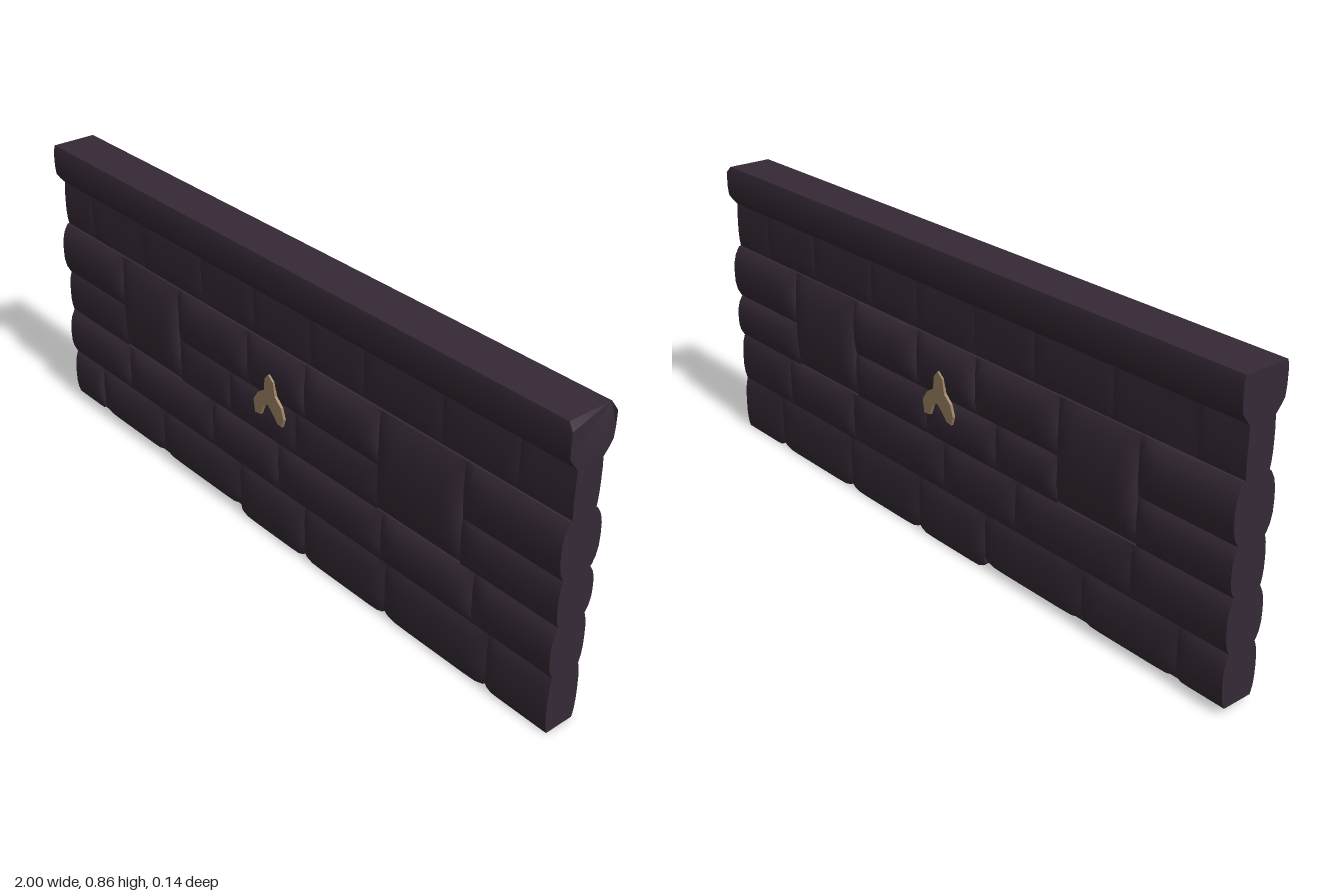
import * as THREE from 'three';
import { mergeVertices, toCreasedNormals } from 'three/addons/utils/BufferGeometryUtils.js';

let seed = 7;
const rand = () => (seed = (seed * 16807) % 2147483647) / 2147483647;

// A pillow-shaped block running through the wall; outer wall ends stay square.
function stoneGeometry(x0, x1, y0, y1, base, front, back) {
  let g = new THREE.BoxGeometry(2, 2, 2, 10, 8, 1);
  const p = g.attributes.position;
  const tilt = (rand() - 0.5) * 0.006;
  for (let i = 0; i < p.count; i++) {
    const u = Math.sin(p.getX(i) * Math.PI / 2);
    const v = Math.sin(p.getY(i) * Math.PI / 2);
    const openEnd = (x0 <= -1 && u < 0) || (x1 >= 1 && u > 0);
    const fx = openEnd ? 1 : 1 - 0.75 * Math.abs(u) ** 10;
    const fy = 1 - Math.abs(v) ** 3;
    const bulge = fx * fy;
    const side = p.getZ(i) > 0 ? 1 : -1;
    const z = base + ((side > 0 ? front : back) - base + tilt * u * side) * bulge;
    // lower corners of the bottom course are worn away
    const lift = y0 < 0.03 && v < -0.9 && !openEnd ? 0.016 * Math.abs(u) ** 12 : 0;
    p.setXYZ(i, (x0 + x1) / 2 + u * (x1 - x0) / 2, (y0 + y1) / 2 + v * (y1 - y0) / 2 + lift, side * z);
  }
  g.deleteAttribute('normal');
  g.deleteAttribute('uv');
  g = mergeVertices(g, 1e-5);
  return toCreasedNormals(g, 0.9);
}

export function createModel() {
  const group = new THREE.Group();
  const stoneMat = new THREE.MeshStandardMaterial({ color: 0x352936 });
  stoneMat.name = 'dark stone';
  const markMat = new THREE.MeshStandardMaterial({ color: 0x9a8260 });
  markMat.name = 'tan paint';

  const add = (name, geometry, material) => {
    const mesh = new THREE.Mesh(geometry, material);
    mesh.name = name;
    group.add(mesh);
    return mesh;
  };

  // Core filling the joints
  const core = new THREE.BoxGeometry(1.99, 0.76, 0.076);
  core.translate(0, 0.4, 0);
  add('core', core, stoneMat);

  // Courses: bottom, top, front depth, back depth, joint positions
  const courses = [
    [0.0, 0.168, 0.058, 0.055, [-1, -0.85, -0.53, -0.16, 0.12, 0.44, 0.8, 1]],
    [0.168, 0.315, 0.065, 0.06, [-1, -0.69, -0.28, 0.01, 0.42, 0.74, 1]],
    [0.315, 0.445, 0.056, 0.062, [-1, -0.7, -0.43, -0.2, 0.08, 0.4, 0.69, 1]],
    [0.445, 0.605, 0.066, 0.069, [-1, -0.7, -0.43, -0.12, 0.12, 0.4, 0.69, 1]],
    [0.605, 0.755, 0.045, 0.045, [-1, -0.86, -0.6, -0.33, -0.1, 0.13, 0.33, 0.6, 0.84, 1]],
  ];
  const tall = (x) => x === -0.7 || x === 0.4;
  courses.forEach(([y0, y1, front, back, xs], row) => {
    const base = row === 4 ? 0.038 : 0.044;
    for (let i = 0; i < xs.length - 1; i++) {
      if ((row === 2 || row === 3) && tall(xs[i])) continue;
      const low = row === 0 && xs[i + 1] <= -0.16 ? 0.02 : y0;
      const d = -rand() * 0.005;
      add('stone', stoneGeometry(xs[i], xs[i + 1], low, y1, base, front + d, back + d), stoneMat);
    }
  });

  // Large blocks spanning two courses
  for (const [x0, x1] of [[-0.7, -0.43], [0.4, 0.69]]) {
    add('tallStone', stoneGeometry(x0, x1, 0.32, 0.605, 0.044, 0.064, 0.066), stoneMat);
  }

  // Coping along the top, bevelled underneath
  const profile = new THREE.Shape([
    [-0.041, 0.738], [0.041, 0.738], [0.056, 0.755], [0.068, 0.772], [0.071, 0.8],
    [0.071, 0.842], [0.066, 0.86], [-0.066, 0.86], [-0.071, 0.842], [-0.071, 0.8],
    [-0.068, 0.772], [-0.056, 0.755],
  ].map(([x, y]) => new THREE.Vector2(x, y)));
  const coping = new THREE.ExtrudeGeometry(profile, { depth: 2, bevelEnabled: false });
  coping.translate(0, 0, -1).rotateY(Math.PI / 2);
  const cp = coping.attributes.position;
  for (let i = 0; i < cp.count; i++) {
    if (cp.getY(i) > 0.85 && cp.getX(i) > 0.9) cp.setX(i, 0.985);
  }
  add('coping', toCreasedNormals(coping, 0.6), stoneMat);

  // Small forked paint patch on both faces
  const patch = new THREE.Shape([
    [-0.005, 0.53], [0.014, 0.515], [0.022, 0.475], [0.047, 0.452], [0.058, 0.42],
    [0.05, 0.395], [0.032, 0.398], [0.012, 0.42], [-0.008, 0.438], [-0.026, 0.425],
    [-0.038, 0.395], [-0.062, 0.392], [-0.068, 0.43], [-0.05, 0.458], [-0.024, 0.475],
    [-0.02, 0.513],
  ].map(([x, y]) => new THREE.Vector2(x, y)));
  const patchGeo = new THREE.ExtrudeGeometry(patch, { depth: 0.008, bevelEnabled: false });
  add('frontPaintPatch', patchGeo, markMat).position.z = 0.06;
  const rear = add('backPaintPatch', patchGeo, markMat);
  rear.rotation.y = Math.PI;
  rear.position.z = -0.063;

  return group;
}
